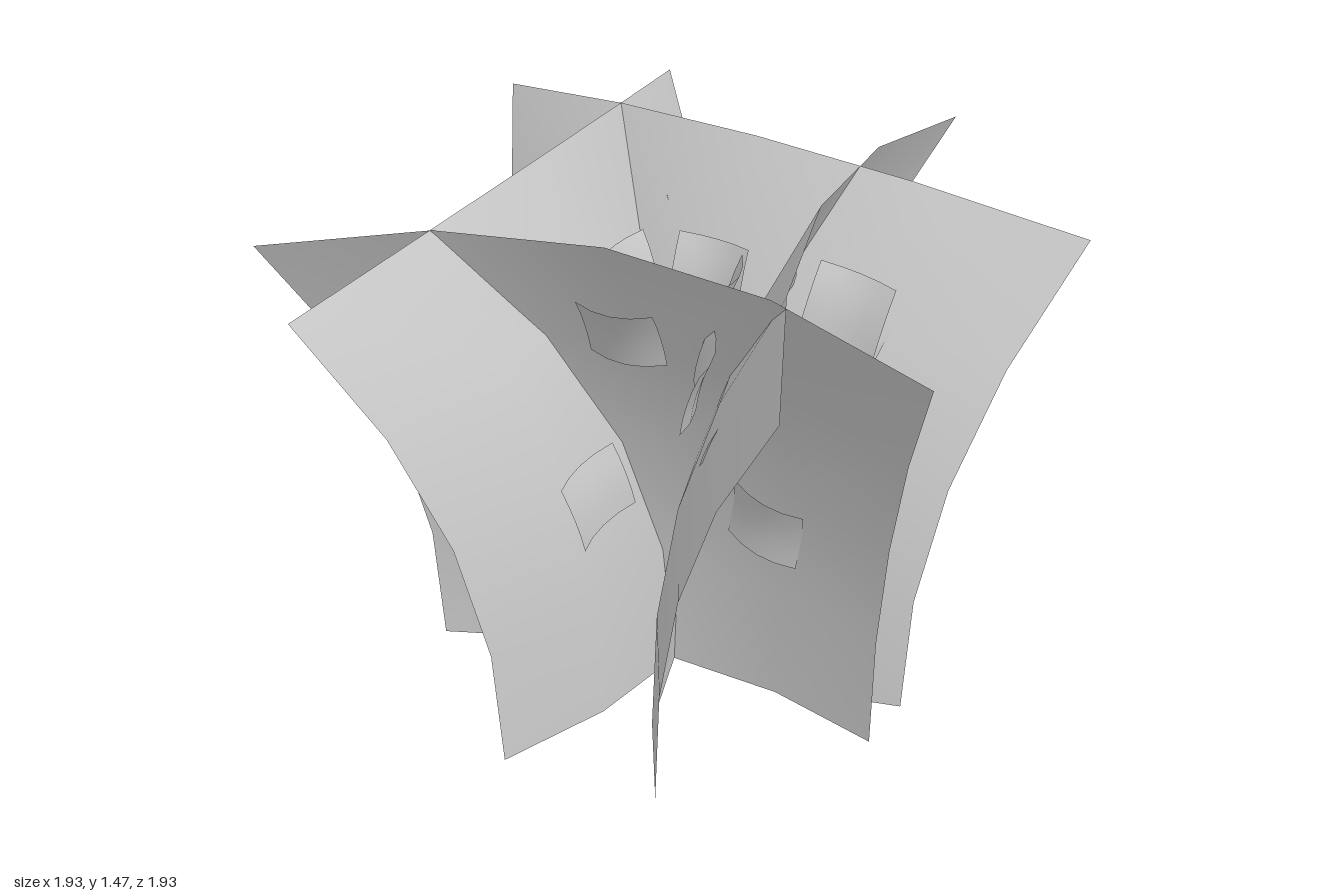
import * as THREE from 'three';

const H = 1.465;
const material = new THREE.MeshStandardMaterial({ color: 0xcccccc, side: THREE.DoubleSide });

// Outward lean plus the sideways bow of a leaf panel
const lean = (u, v) => 0.4 * Math.pow(v, 2.2) + 0.15 * u * u;
const halfWidth = (v) => 0.655 + 0.285 * v * v;

// Grid bent by a rule: f(u, v) with u in -1..1 and v in 0..1 gives [x, y, z]
function bentGrid(cols, rows, f) {
  const geo = new THREE.PlaneGeometry(2, 1, cols, rows);
  const p = geo.attributes.position;
  for (let i = 0; i < p.count; i++) {
    p.setXYZ(i, ...f(p.getX(i), p.getY(i) + 0.5));
  }
  geo.computeVertexNormals();
  return geo;
}

// Wide panel that flares and leans outward towards its arched top
const panelGeometry = bentGrid(4, 4, (u, v) => [
  u * halfWidth(v),
  v * (H - 0.12 * u * u),
  lean(u, v),
]);

// Small curved leaflet, ends curling back
const leafletGeometry = bentGrid(4, 4, (u, v) => [
  u * 0.11,
  (v - 0.5) * 0.2,
  -0.025 * u * u + 0.03 * (v - 0.5) * (v - 0.5),
]);

// Leaflets on each panel: x, y, roll, distance from the panel, pitch
const leaflets = [
  ['outerLeafletMiddle', -0.02, 1.15, 0, 0.05, 0.45],
  ['outerLeafletLow', 0.32, 0.58, -0.2, 0.045, 0.2],
  ['outerLeafletSide', -0.38, 1.03, 0.25, 0.045, 0.4],
  ['innerLeafletMiddle', -0.02, 1.15, 0, -0.08, 0.28],
  ['innerLeafletLow', 0.32, 0.68, -0.2, -0.045, 0.2],
  ['innerLeafletSide', -0.42, 1.14, 0.15, -0.06, 0.28],
];

function makePanel(name, yaw) {
  const group = new THREE.Group();
  group.name = name;
  const sheet = new THREE.Mesh(panelGeometry, material);
  sheet.name = 'leafPanel';
  group.add(sheet);
  for (const [label, x, y, roll, offset, pitch] of leaflets) {
    const v = y / H;
    const u = x / halfWidth(v);
    const leaf = new THREE.Mesh(leafletGeometry, material);
    leaf.name = label;
    leaf.position.set(x, y, lean(u, v) + offset);
    leaf.rotation.set(pitch, Math.atan(-0.3 * u / halfWidth(v)), roll);
    group.add(leaf);
  }
  group.rotation.y = yaw;
  return group;
}

export function createModel() {
  const model = new THREE.Group();
  model.name = 'leafCluster';
  // Four panels cross at one root, each turned a little unevenly
  const root = new THREE.Group();
  root.name = 'panels';
  root.position.set(-0.04, 0, 0.05);
  const yaws = { frontPanel: 0.03, leftPanel: 1.74, backPanel: 3.01, rightPanel: 4.66 };
  for (const [name, yaw] of Object.entries(yaws)) root.add(makePanel(name, yaw));
  model.add(root);
  return model;
}
